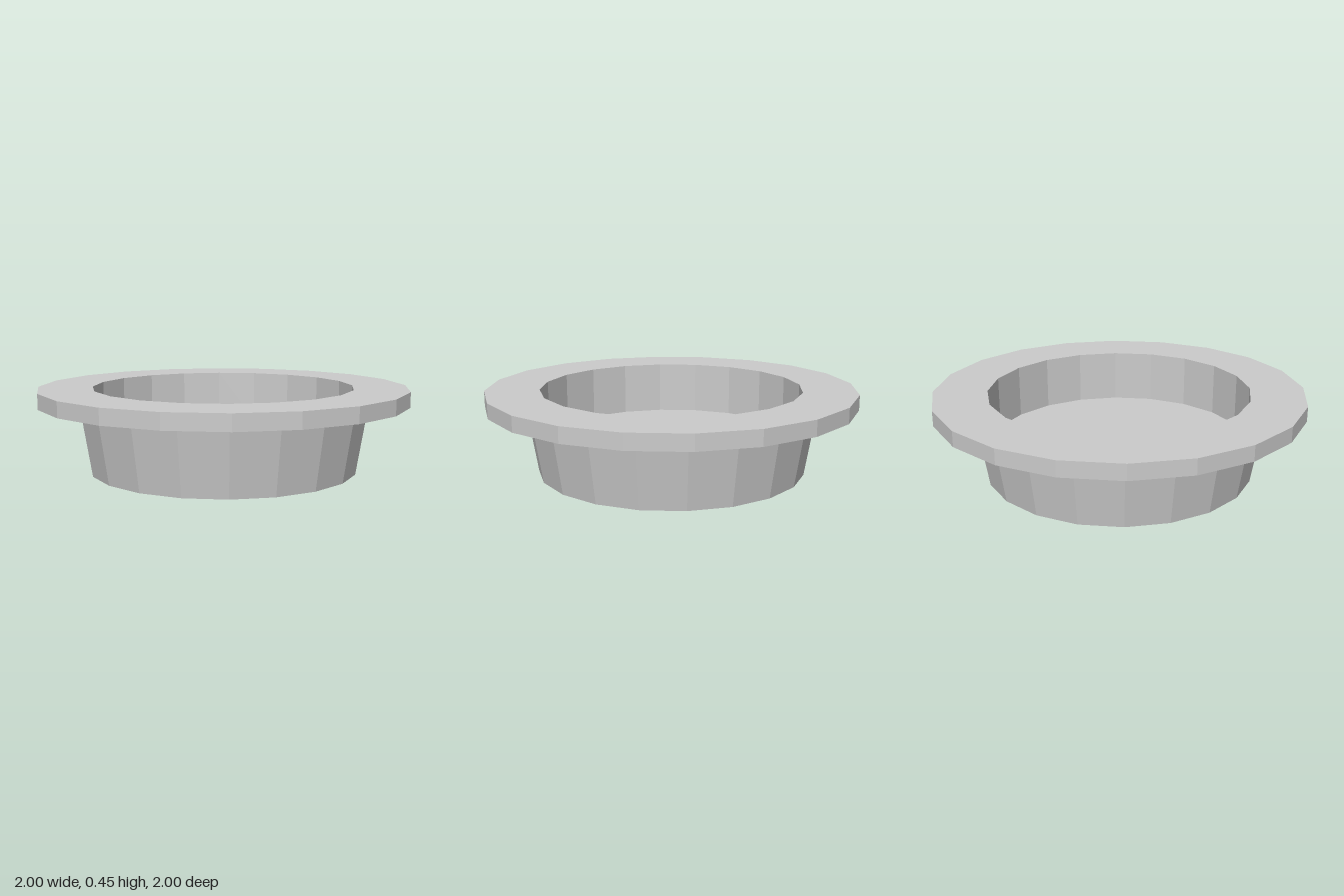
import * as THREE from 'three';

const SIDES = 20;
const material = new THREE.MeshStandardMaterial({ color: 0xcccccc, flatShading: true });

// Revolve a profile of [radius, height] pairs around the y axis
function turned(name, profile) {
  const points = profile.map(([r, y]) => new THREE.Vector2(r, y));
  const mesh = new THREE.Mesh(new THREE.LatheGeometry(points, SIDES), material);
  mesh.name = name;
  return mesh;
}

export function createModel() {
  const group = new THREE.Group();
  group.name = 'flangedDish';

  // Flat base and tapered outer wall, with a small step under the flange
  group.add(turned('outerBody', [[0, 0], [0.727, 0], [0.785, 0.36], [0.79, 0.368]]));

  // Wide flat flange
  group.add(turned('flange', [[0.79, 0.368], [1, 0.368], [1, 0.45], [0.708, 0.45]]));

  // Straight-walled recess and its floor
  group.add(turned('recess', [[0.708, 0.45], [0.708, 0.16], [0, 0.16]]));

  return group;
}
